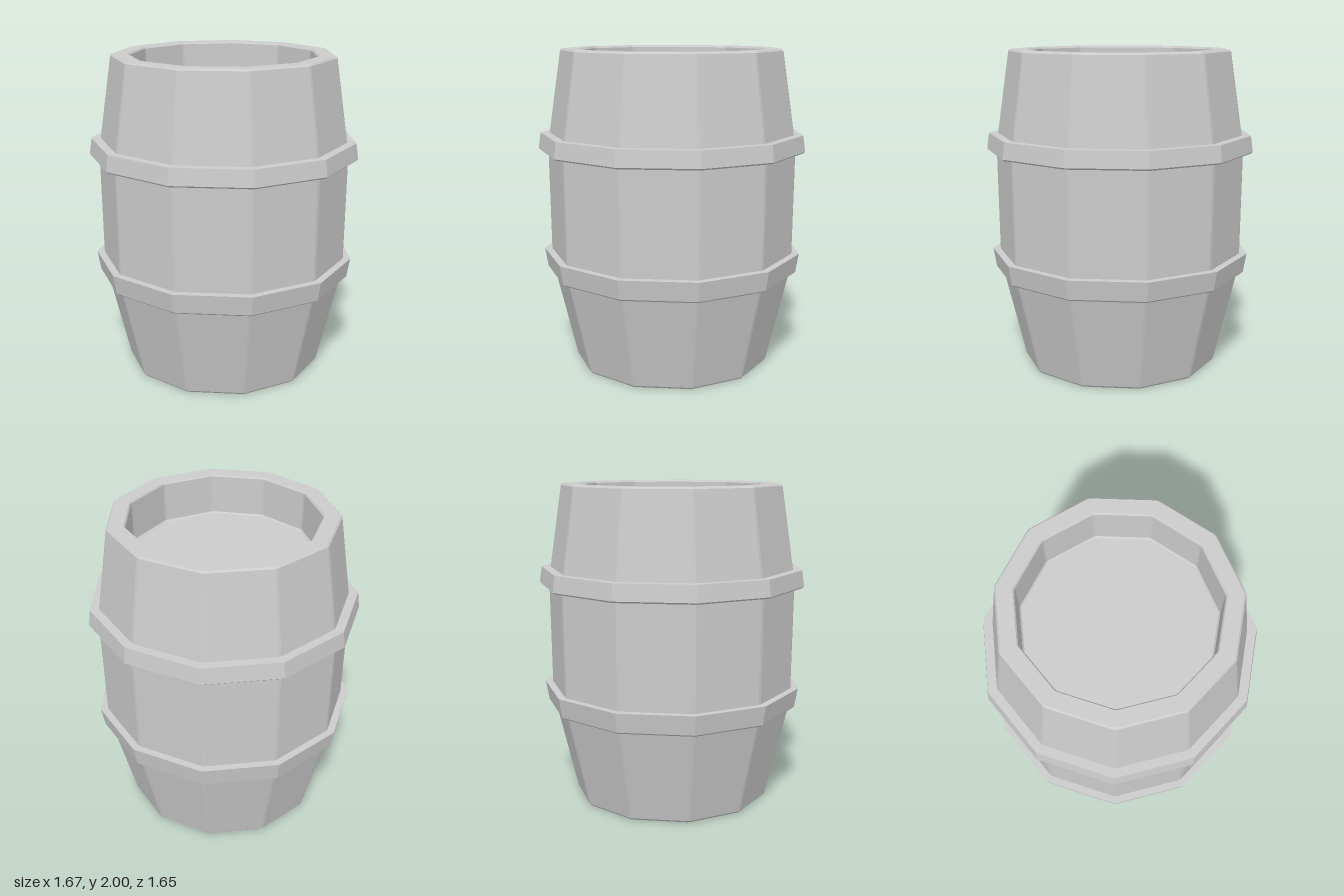
import * as THREE from 'three';

const SIDES = 11;
const STEP = (Math.PI * 2) / SIDES;
const material = new THREE.MeshStandardMaterial({ color: 0xcccccc, flatShading: true });

// Faceted turned part; each vertical corner is cut by a narrow chamfer.
function turned(name, profile, chamfer) {
  const points = profile.map(([r, y]) => new THREE.Vector2(r, y));
  const geo = new THREE.LatheGeometry(points, SIDES * 2);
  const pos = geo.attributes.position;
  const rows = points.length;
  for (let i = 0; i < pos.count; i++) {
    const column = Math.floor(i / rows);
    const [r, y] = profile[i % rows];
    const corner = Math.ceil(column / 2);
    const delta = column % 2 ? -chamfer : chamfer;
    const angle = Math.PI + corner * STEP + delta;
    // keep the chamfer corners on the flat sides of the polygon
    const radius = (r * Math.cos(STEP / 2)) / Math.cos(STEP / 2 - chamfer);
    pos.setXYZ(i, radius * Math.sin(angle), y, radius * Math.cos(angle));
  }
  geo.computeVertexNormals();
  const mesh = new THREE.Mesh(geo, material);
  mesh.name = name;
  return mesh;
}

export function createModel() {
  const group = new THREE.Group();
  group.name = 'barrel';

  // Staves, rim and recessed lid in one continuous profile
  group.add(turned('body', [
    [0, 0], [0.615, 0], [0.626, 0.012],
    [0.765, 0.6], [0.777, 0.73], [0.783, 1.37], [0.772, 1.48],
    [0.694, 1.99], [0.684, 2],
    [0.59, 2], [0.582, 1.99],
    [0.578, 1.75], [0.568, 1.74], [0, 1.74],
  ], 0.012));

  // Hoops, each tapering with the belly of the barrel
  const hoops = [
    ['lowerHoop', 0.6, 0.73, 0.803, 0.823],
    ['upperHoop', 1.37, 1.48, 0.842, 0.828],
  ];
  for (const [name, y0, y1, r0, r1] of hoops) {
    group.add(turned(name, [
      [0.72, y0], [r0 - 0.012, y0], [r0, y0 + 0.01],
      [r1, y1], [0.72, y1],
    ], 0.002));
  }

  // An odd number of sides needs a small shift to centre the depth
  for (const part of group.children) part.position.z = 0.017;
  return group;
}
